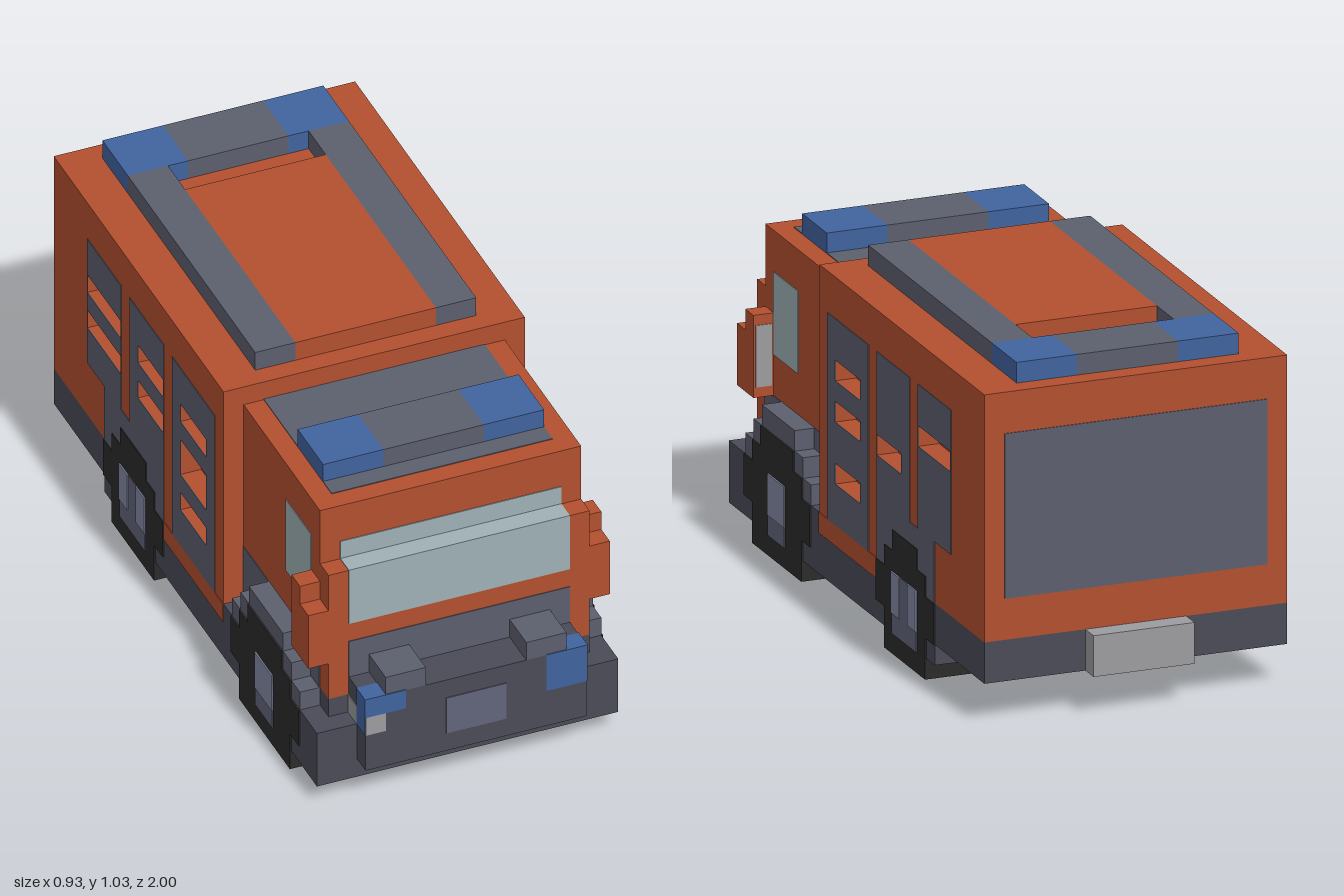
import * as THREE from 'three';

const U = 2 / 33; // one block
const E = 0.04;   // thickness of painted panels, in blocks
const mat = (color) => new THREE.MeshStandardMaterial({ color, flatShading: true });
const M = {
  orange: mat(0xb35030), slate: mat(0x5c5f6d), dark: mat(0x4b4b58), plate: mat(0x62657a),
  blue: mat(0x41639f), glass: mat(0x9fb0b5), tire: mat(0x2b2b2b), hub: mat(0x858aa6), silver: mat(0x9c9ca0),
};

export function createModel() {
  const g = new THREE.Group();
  g.name = 'truck';

  // Box given by its extents in blocks
  function box(name, m, x0, x1, y0, y1, z0, z1) {
    const mesh = new THREE.Mesh(new THREE.BoxGeometry(x1 - x0, y1 - y0, z1 - z0), M[m]);
    mesh.position.set((x0 + x1) / 2, (y0 + y1) / 2, (z0 + z1) / 2);
    mesh.name = name;
    g.add(mesh);
  }
  // The same box on both sides
  function pair(name, m, x0, x1, ...rest) {
    box(name + 'Left', m, x0, x1, ...rest);
    box(name + 'Right', m, -x1, -x0, ...rest);
  }
  const rect = (P, [z0, z1, y0, y1]) => new P([[z0, y0], [z1, y0], [z1, y1], [z0, y1]]
    .map(([a, b]) => new THREE.Vector2(a, b)));
  // Side sheet in the z-y plane with holes, outer face at |x| = outer
  function sheet(name, m, side, outer, depth, area, holes) {
    const s = rect(THREE.Shape, area);
    s.holes = holes.map((h) => rect(THREE.Path, h));
    const geo = new THREE.ExtrudeGeometry(s, { depth, bevelEnabled: false });
    geo.rotateY(-Math.PI / 2).translate(side > 0 ? outer : depth - outer, 0, 0);
    const mesh = new THREE.Mesh(geo, M[m]);
    mesh.name = name;
    g.add(mesh);
  }

  // Chassis
  box('chassis', 'dark', -7.5, 7.5, 2, 4, -15.5, 15.5);
  box('lowerChassis', 'dark', -7.5, 7.5, 1, 2, -9.5, 15.5);
  box('cabFloor', 'dark', -6.5, 6.5, 4, 5, 4.5, 14.5);
  box('rearBumper', 'silver', -2.5, 2.5, 2, 4, -16.5, -15.5);

  // Rear body with slotted sides
  box('bodyCore', 'orange', -6.5, 6.5, 4, 16, -15.5, 4.5);
  box('rearPanel', 'slate', -6.5, 6.5, 6, 14, -15.5 - E, -15.5);
  for (const side of [1, -1]) {
    const panels = [
      { area: [-1.5, 3.5, 4, 14], slots: [[-0.5, 2.5, 11, 12], [-0.5, 2.5, side > 0 ? 9 : 8, 10], [-0.5, 2.5, 6, 7]] },
      { area: [-6.5, -2.5, 7, 14], slots: [[-5.5, -2.55, 9, 10]] },
      { area: [-11.5, -7.5, 7, 14], slots: [[-11.45, -7.55, 11, 12]] },
    ];
    if (side < 0) {
      panels[1].slots.push([-5.5, -2.55, 11, 12]);
      panels[2].slots.push([-11.45, -7.55, 9, 10]);
    }
    const name = side > 0 ? 'Left' : 'Right';
    sheet('bodySide' + name, 'orange', side, 7.5, 1, [-15.5, 4.5, 4, 16], panels.flatMap((p) => p.slots));
    for (const p of panels) sheet('sidePanel' + name, 'slate', side, 7.5 + E, E, p.area, p.slots);
  }
  pair('sideSkirt', 'orange', 7.5, 7.5 + E, 3, 4, -2.5, 4.5);
  pair('rearArch', 'slate', 7.5, 7.5 + E, 4, 7, -9.5, -2.5);

  // Roof frame with a raised centre and an open notch behind it
  box('roofCentre', 'orange', -3.5, 3.5, 16, 17, -9.5, 3.5);
  pair('roofRail', 'slate', 3.5, 5.5, 16, 17, -11.5, 3.5);
  box('roofRearBar', 'slate', -2.5, 2.5, 16, 17, -14.5, -11.5);
  pair('roofRearLight', 'blue', 2.5, 5.5, 16, 17, -14.5, -11.5);

  // Cab
  box('cab', 'orange', -6.5, 6.5, 5, 15, 4.5, 13.5);
  box('cabNose', 'orange', -6.5, 6.5, 5, 12, 13.5, 14.5);
  box('cabRoofPanel', 'slate', -5.5, 5.5, 15, 15 + E, 4.5, 12.5);
  box('windscreen', 'glass', -5.5, 5.5, 9, 12 + E, 13.5, 14.5 + E);
  box('windscreenTop', 'glass', -5.5, 5.5, 12, 13, 13.5, 13.5 + E);
  box('grille', 'slate', -5.5, 5.5, 5, 8, 14.5, 14.5 + E);
  pair('sideWindow', 'glass', 6.5, 6.5 + E, 9, 13, 9.5, 12.5);
  pair('cabLowerPanel', 'slate', 6.5, 6.5 + E, 4, 7, 4.5, 13.5);
  box('lightBar', 'slate', -2.5, 2.5, 15, 16, 8.5, 11.5);
  pair('beacon', 'blue', 2.5, 5.5, 15, 16, 8.5, 11.5);

  // Mirrors
  pair('mirrorArm', 'orange', 6.5, 7.5, 7, 11, 12.5, 13.5);
  pair('mirrorFront', 'orange', 6.5, 7.5, 7, 10, 13.5, 14.5);
  pair('mirrorGlass', 'silver', 6.6, 7.4, 7.5, 10.5, 12.5 - E, 12.5);

  // Stepped front fenders
  [[4, 5, 5.5, 13.5], [5, 6, 6.5, 12.5], [6, 7, 7.5, 11.5]]
    .forEach((f) => pair('fender', 'slate', 6.5, 7.5, ...f));

  // Front bumper with lamps
  box('bumper', 'dark', -5.5, 5.5, 2, 6, 14.5, 16.5);
  box('bumperPlate', 'plate', -1.5, 1.5, 3, 5, 16.5, 16.5 + E);
  pair('bumperPost', 'slate', 2.5, 4.5, 6, 7, 14.5, 16.5);
  box('lampLeft', 'blue', 3.5, 5.5 + E, 4, 6 + E, 15.5, 16.5 + E);
  box('lampRight', 'blue', -5.5 - E, -3.5, 5, 6 + E, 15.5, 16.5 + E);
  box('lampRightSide', 'blue', -5.5 - E, -5.5, 4, 5, 15.5, 16.5);
  box('smallLamp', 'silver', -5.5, -4.5, 4, 5, 16.5, 16.5 + E);
  pair('sideLamp', 'silver', 5.5, 5.5 + E, 4, 5, 14.5, 15.5);

  // Wheels from stacked rows: bottom, top, half width
  const wheels = [
    { z: 9.5, name: 'frontWheel', rows: [[0, 2, 3], [2, 4, 4], [4, 5, 3], [5, 6, 2]], hub: 1 },
    { z: -6, name: 'rearWheel', rows: [[0, 2, 2.5], [2, 4, 3.5], [4, 5, 2.5], [5, 6, 1.5]], hub: 1.5 },
  ];
  for (const { z, name, rows, hub } of wheels) {
    for (const [y0, y1, r] of rows) pair(name, 'tire', 3.5, 7.5 + 2 * E, y0, y1, z - r, z + r);
    pair(name + 'Hub', 'plate', 7.5, 7.5 + 3 * E, 1, 4, z - hub, z + hub);
    pair(name + 'HubCap', 'hub', 7.5, 7.5 + 4 * E, 2, 4, z - hub, z - hub + 1);
    pair(name + 'HubCap', 'hub', 7.5, 7.5 + 4 * E, 2, 4, z + hub - 1, z + hub);
  }

  g.scale.setScalar(U);
  const root = new THREE.Group();
  root.name = 'model';
  root.add(g);
  return root;
}
